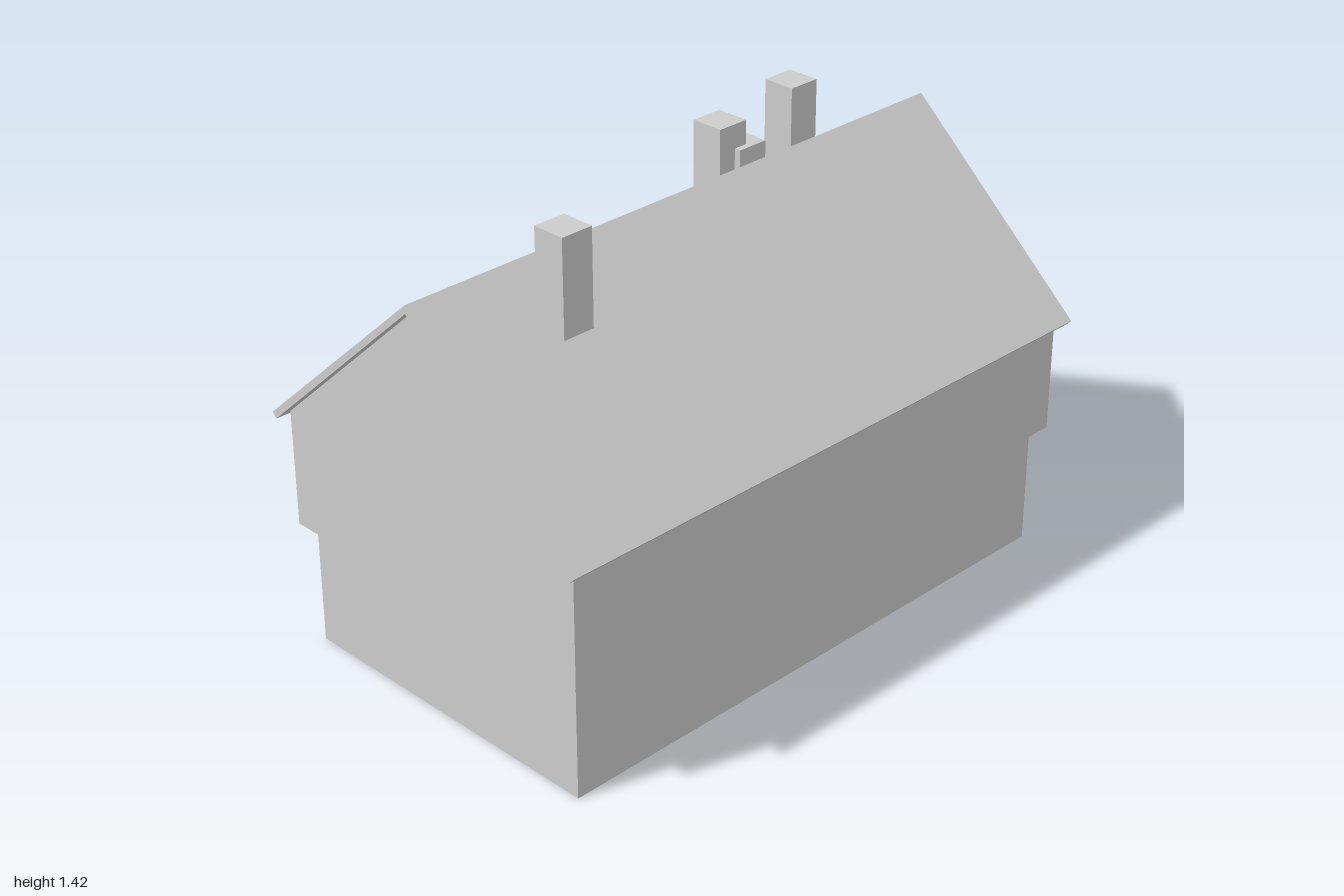
import * as THREE from 'three';

export function createModel() {
  const house = new THREE.Group();
  house.name = 'house';
  const grey = new THREE.MeshStandardMaterial({ color: 0xcccccc });
  grey.name = 'plain grey';

  const add = (name, geometry) => {
    const mesh = new THREE.Mesh(geometry, grey);
    mesh.name = name;
    house.add(mesh);
  };

  // Box given by its lower and upper corners
  const addBox = (name, [x0, y0, z0], [x1, y1, z1]) => {
    const g = new THREE.BoxGeometry(x1 - x0, y1 - y0, z1 - z0);
    add(name, g.translate((x0 + x1) / 2, (y0 + y1) / 2, (z0 + z1) / 2));
  };

  // Profile of [z, y] points drawn out along x from x0 to x1
  const addProfile = (name, points, x0, x1) => {
    const shape = new THREE.Shape(points.map(([z, y]) => new THREE.Vector2(-z, y)));
    const g = new THREE.ExtrudeGeometry(shape, { depth: x1 - x0, bevelEnabled: false });
    add(name, g.rotateY(Math.PI / 2).translate(x0, 0, 0));
  };

  // Ground floor and the overhanging upper floor with its gables
  addBox('groundFloor', [-0.933, 0, -0.535], [0.933, 0.387, 0.535]);
  addProfile('upperFloor', [
    [0.573, 0.387], [-0.573, 0.387], [-0.573, 0.756], [0, 1.27], [0.573, 0.756],
  ], -0.967, 0.967);

  // Two thin roof slopes meeting at the ridge
  for (const [name, s] of [['frontRoof', 1], ['backRoof', -1]]) {
    addProfile(name, [
      [0, 1.293], [s * 0.61, 0.747], [s * 0.595, 0.731], [0, 1.268],
    ], -1, 1);
  }

  // Square chimneys, sunk through the roof: centre x, centre z, top
  const chimneys = [
    [-0.578, 0.136, 1.42],
    [0.572, -0.136, 1.42],
    [0.268, -0.127, 1.385],
    [0.328, -0.107, 1.31],
  ];
  const half = 0.0525;
  chimneys.forEach(([x, z, top], i) =>
    addBox(`chimney${i + 1}`, [x - half, 1.05, z - half], [x + half, top, z + half]));

  return house;
}
